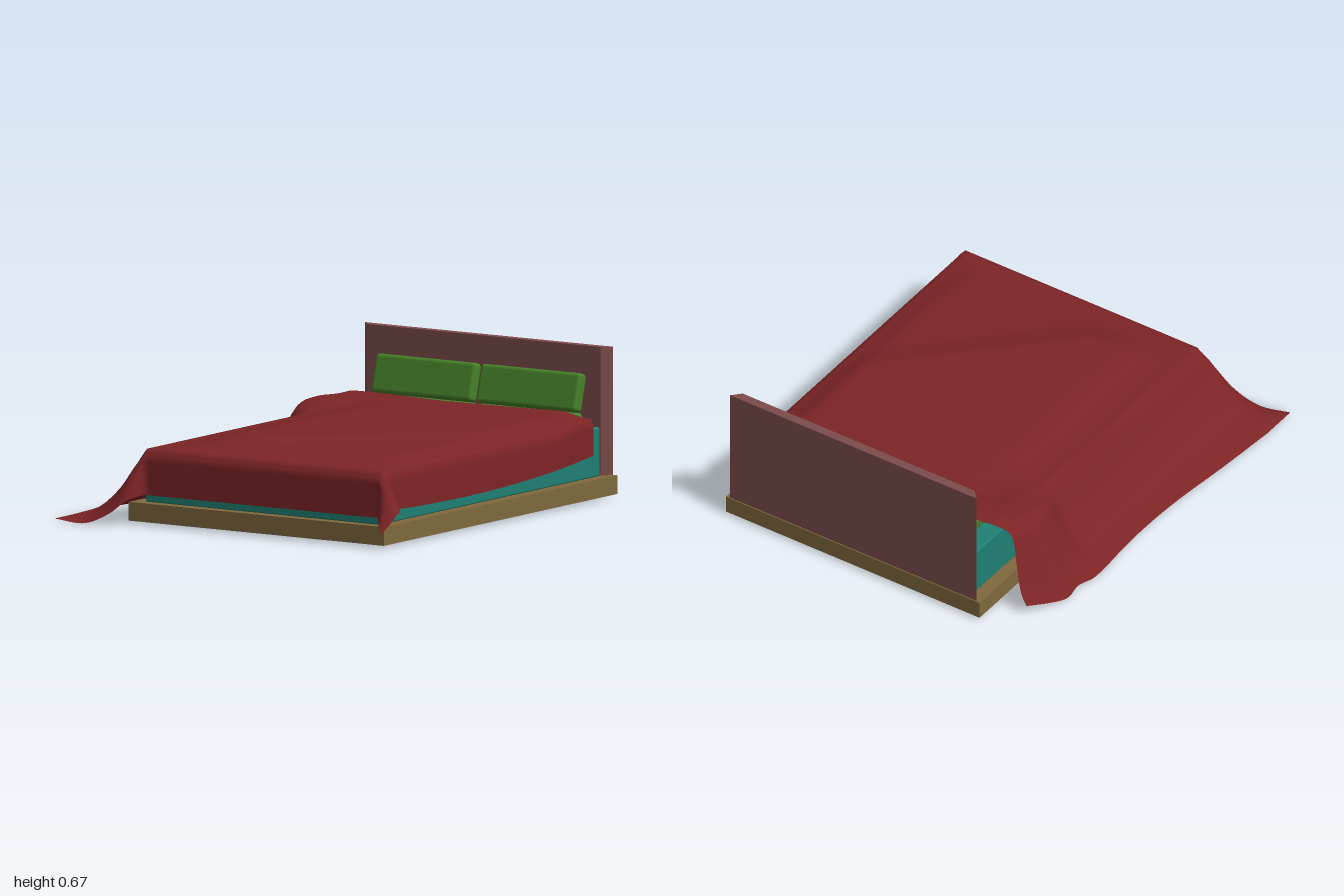
import * as THREE from 'three';
import { RoundedBoxGeometry } from 'three/addons/geometries/RoundedBoxGeometry.js';

const paint = (color, side = THREE.FrontSide) =>
  new THREE.MeshStandardMaterial({ color, side, roughness: 0.9 });

const smooth = (a, b, x) => {
  const t = Math.min(1, Math.max(0, (x - a) / (b - a)));
  return t * t * (3 - 2 * t);
};
const lerp = THREE.MathUtils.lerp;
const bump = (d, w) => Math.exp(-(d * d) / (w * w));

// Smooth function through a few [x, y] points
function curve(pts) {
  const slope = (i) => {
    const a = pts[Math.max(0, i - 1)], b = pts[Math.min(pts.length - 1, i + 1)];
    return (b[1] - a[1]) / (b[0] - a[0]);
  };
  return (x) => {
    let k = 0;
    while (k < pts.length - 2 && x > pts[k + 1][0]) k++;
    const [x0, y0] = pts[k], [x1, y1] = pts[k + 1];
    const h = x1 - x0, t = Math.min(1, Math.max(0, (x - x0) / h));
    const t2 = t * t, t3 = t2 * t;
    return (2 * t3 - 3 * t2 + 1) * y0 + (t3 - 2 * t2 + t) * h * slope(k)
      + (3 * t2 - 2 * t3) * y1 + (t3 - t2) * h * slope(k + 1);
  };
}

// Blanket limits: top panel, back hem, and hem of the trailing side
const LEFT = -0.485, RIGHT = 0.765, FRONT = 0.815;
const backHem = curve([[-0.79, -0.77], [-0.7, -0.85], [-0.53, -0.79], [-0.47, -0.82],
  [-0.3, -0.82], [0, -0.785], [0.2, -0.79], [0.5, -0.81], [0.7, -0.84], [0.77, -0.865]]);
const flapHemX = curve([[-0.85, -0.7], [-0.75, -0.755], [-0.66, -0.79], [-0.55, -0.775], [-0.46, -0.8],
  [-0.2, -0.79], [0, -0.79], [0.2, -0.8], [0.5, -0.83], [0.815, -0.855]]);
const flapHemY = curve([[-0.85, 0.05], [-0.68, 0.015], [-0.45, 0.005], [0, 0.015], [0.815, 0.015]]);
const flapOut = curve([[0, 0], [0.2, 0.11], [0.45, 0.31], [0.7, 0.61], [1, 1]]);
const flapFall = curve([[0, 1], [0.2, 0.83], [0.45, 0.48], [0.7, 0.17], [1, 0]]);
const bulgeOut = curve([[0, 0], [0.25, 0.38], [0.5, 0.57], [0.75, 0.78], [1, 1]]);
const bulgeFall = curve([[0, 1], [0.25, 0.95], [0.5, 0.66], [0.75, 0.3], [1, 0]]);
const rightHemY = curve([[-0.87, 0.2], [-0.5, 0.165], [0, 0.145], [0.5, 0.148], [0.815, 0.16]]);

// Height of the blanket on top of the bed
function topHeight(x, z) {
  const head = smooth(-0.58, -0.78, z);
  const inside = smooth(-0.46, -0.2, x) * smooth(0.765, 0.62, x) * smooth(0.76, 0.53, z);
  const across = (x + 0.1 + z - 0.55) / Math.SQRT2;
  const along = (x + 0.1 - z + 0.55) / Math.SQRT2;
  const plateau = 0.047 - 0.018 * smooth(0, 0.16, across);
  let y = 0.336 + plateau * inside;
  y += 0.006 * bump(across, 0.06) * smooth(-0.08, 0.05, along) * smooth(1.05, 0.7, along) * inside;
  y = lerp(y, 0.394 - 0.03 * smooth(0.62, 0.765, x), head);
  // folds gathering toward the trailing side
  y += 0.04 * smooth(-0.36, -0.56, z) * smooth(-0.25, -0.46, x) * (1 - head);
  y -= 0.012 * bump(z + 0.66 + 0.05 * Math.sin(x * 3), 0.035) * smooth(-0.5, -0.35, x) * smooth(0.76, 0.6, x);
  y += 0.007 * bump(z + 0.53 - 0.17 * x, 0.05) * smooth(0.6, 0.1, x);
  y -= 0.006 * bump(z + 0.43 - 0.2 * x, 0.05) * smooth(0.5, 0, x);
  return y;
}

// s: -1..0 trailing side, 0..1 top, 1..2 short side; t: 0..1 top, 1..2 front drop
function blanketPoint(s, t) {
  const a = Math.max(0, -s), c = Math.max(0, s - 1), b = Math.max(0, t - 1);
  const mid = lerp(LEFT, RIGHT, Math.min(1, Math.max(0, s)));
  let z = lerp(backHem(mid - 0.215 * a), FRONT, Math.min(1, t));
  let x = mid;
  let y = topHeight(x, z);
  if (a > 0) {
    // the side bulges near the head, then falls steeply and flares out
    const w = smooth(-0.34, -0.58, z);
    x += (flapHemX(z) - LEFT) * lerp(flapOut(a), bulgeOut(a), w);
    y = lerp(flapHemY(z), y, lerp(flapFall(a), bulgeFall(a), w));
    y -= 0.035 * smooth(-0.68, -0.8, z) * Math.sin(Math.PI * a);
  }
  if (c > 0) {
    // short side, with a pleat standing out at the front corner
    const pleat = smooth(0.75, 0.81, z) * c;
    x += 0.012 * smooth(0, 0.2, c) + 0.075 * pleat * (1 - 0.45 * b * b);
    y = lerp(y, rightHemY(z), c);
    z -= 0.02 * pleat;
  }
  if (b > 0) {
    y -= 0.205 * b;
    z += 0.02 * smooth(0, 0.2, b);
    // spare cloth flares out at the two front corners
    y += (0.205 * Math.pow(a, 1.1) + 0.115 * c) * b;
    y += 0.03 * Math.sin(Math.PI * b) * smooth(0, 0.4, a) * (1 - a);
    z += (0.165 * Math.pow(a, 0.4) + 0.085 * Math.sqrt(c)) * b;
  }
  return [x, Math.max(0, y), z];
}

function blanketGeometry() {
  const steps = (from, to, n) => Array.from({ length: n }, (_, i) => lerp(from, to, i / n));
  const cols = [...steps(-1, 0, 26), ...steps(0, 1, 50), ...steps(1, 2, 12), 2];
  const rows = [...steps(0, 1, 90), ...steps(1, 2, 14), 2];
  const pos = [], index = [], n = cols.length;
  rows.forEach((t, i) => cols.forEach((s, j) => {
    pos.push(...blanketPoint(s, t));
    if (i && j) {
      const d = i * n + j, e = d - 1, f = d - n, g = f - 1;
      index.push(g, e, f, f, e, d);
    }
  }));
  const geo = new THREE.BufferGeometry();
  geo.setAttribute('position', new THREE.Float32BufferAttribute(pos, 3));
  geo.setIndex(index);
  geo.computeVertexNormals();
  return geo;
}

export function createModel() {
  const group = new THREE.Group();
  const add = (name, geo, mat, x = 0, y = 0, z = 0) => {
    const mesh = new THREE.Mesh(geo, mat);
    mesh.name = name;
    mesh.position.set(x, y, z);
    group.add(mesh);
    return mesh;
  };

  // Low platform with a dark underside
  add('bedBase', new THREE.BoxGeometry(1.363, 0.083, 1.865), paint(0x7f693d), 0.1315, 0.0565, -0.0675);
  add('underside', new THREE.BoxGeometry(1.358, 0.002, 1.86), paint(0x707070), 0.1315, 0.0145, -0.0675);

  // Headboard with side edges slanted toward the front
  const plan = new THREE.Shape([[-0.53, 0.995], [0.793, 0.995], [0.755, 0.953], [-0.492, 0.953]]
    .map(([x, y]) => new THREE.Vector2(x, y)));
  const board = new THREE.ExtrudeGeometry(plan, { depth: 0.577, bevelEnabled: false });
  board.rotateX(-Math.PI / 2);
  add('headboard', board, paint(0x7d4c4c), 0, 0.097, 0);

  add('mattress', new RoundedBoxGeometry(1.25, 0.22, 1.76, 3, 0.008), paint(0x1f8074), 0.135, 0.207, -0.06);

  // Two pillows lying flat, two leaning on the headboard
  const green = paint(0x458029);
  for (const x of [-0.14, 0.42]) {
    add('flatPillow', new RoundedBoxGeometry(0.535, 0.06, 0.175, 4, 0.018), green, x, 0.349, -0.83);
    add('leaningPillow', new RoundedBoxGeometry(0.535, 0.175, 0.06, 4, 0.018), green, x, 0.468, -0.9)
      .rotation.x = -0.26;
  }

  add('blanket', blanketGeometry(), paint(0x7d2426, THREE.DoubleSide));
  return group;
}
